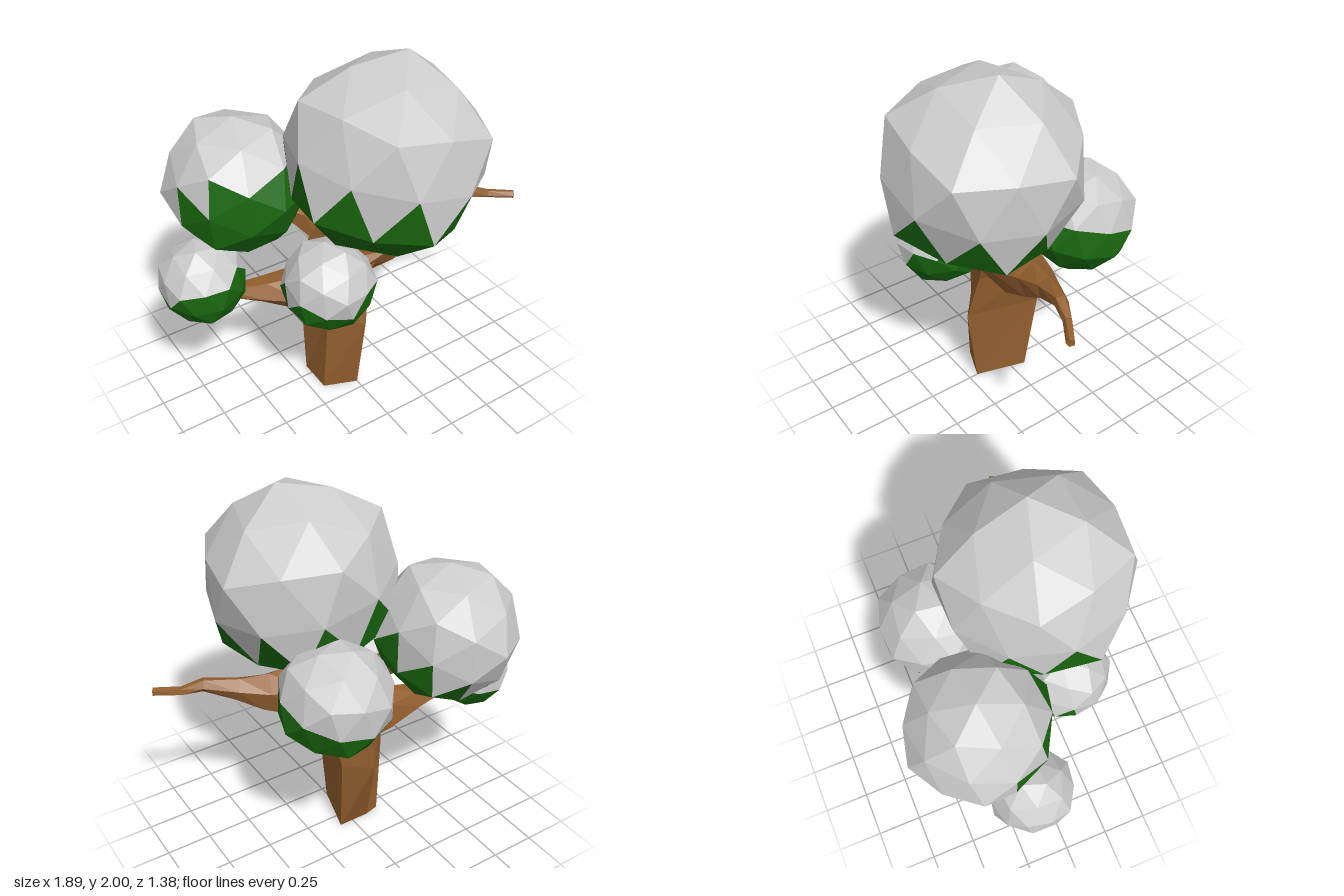
import * as THREE from 'three';

const mat = (color) => new THREE.MeshStandardMaterial({ color, flatShading: true, roughness: 1 });
const bark = mat(0x94602f), leaf = mat(0x1a6a10), snow = mat(0xcccccc);

function fromPositions(positions) {
  const g = new THREE.BufferGeometry();
  g.setAttribute('position', new THREE.Float32BufferAttribute(positions, 3));
  g.computeVertexNormals();
  return g;
}

function addMesh(parent, name, geometry, material) {
  const m = new THREE.Mesh(geometry, material);
  m.name = name;
  parent.add(m);
}

// Closed faceted skin over a stack of equal-sized loops of points
function skin(loops) {
  const out = [];
  const tri = (...p) => p.forEach((v) => out.push(v.x, v.y, v.z));
  const sides = loops[0].length, last = loops.length - 1;
  for (let k = 0; k < sides; k++) {
    const n = (k + 1) % sides;
    for (let i = 0; i < last; i++) {
      tri(loops[i][k], loops[i + 1][k], loops[i][n]);
      tri(loops[i][n], loops[i + 1][k], loops[i + 1][n]);
    }
    if (k > 0 && n > 0) {
      tri(loops[0][0], loops[0][k], loops[0][n]);
      tri(loops[last][0], loops[last][n], loops[last][k]);
    }
  }
  return fromPositions(out);
}

// Five-sided branch through rings [x, y, z, radius], twisted a little per ring
function branch(rings, start) {
  const centres = rings.map((r) => new THREE.Vector3(r[0], r[1], r[2]));
  return skin(rings.map((r, i) => {
    const t = centres[Math.min(i + 1, rings.length - 1)].clone()
      .sub(centres[Math.max(i - 1, 0)]).normalize();
    const side = new THREE.Vector3().crossVectors(t, new THREE.Vector3(0, 0, 1)).normalize();
    const other = new THREE.Vector3().crossVectors(side, t);
    return Array.from({ length: 5 }, (_, k) => {
      const a = start + i * 0.2 + (k / 5) * Math.PI * 2;
      return centres[i].clone().addScaledVector(side, r[3] * Math.cos(a))
        .addScaledVector(other, r[3] * Math.sin(a));
    });
  }));
}

// Leaf ball: faces towards snowDir are snow, the rest are leaves.
// The twelve main corners stand out, the points between them are drawn in by "inset".
function foliage(name, { centre, radius, inset, rotation, snowDir, level }) {
  const group = new THREE.Group();
  group.name = name;
  group.position.set(...centre);
  const geo = new THREE.IcosahedronGeometry(radius, 1);
  const p = geo.attributes.position;
  const v = new THREE.Vector3();
  for (let i = 0; i < p.count; i++) {
    v.fromBufferAttribute(p, i);
    const [a, b, c] = [v.x, v.y, v.z].map(Math.abs).sort((m, n) => m - n);
    const corner = a < 0.01 * radius && b > 0.4 * radius && c < 0.9 * radius;
    if (!corner) p.setXYZ(i, v.x * inset, v.y * inset, v.z * inset);
  }
  const [first, turn, tiltX, tiltZ] = rotation;
  geo.rotateX(first).rotateY(turn).rotateX(tiltX).rotateZ(tiltZ);
  const dir = new THREE.Vector3(...snowDir).normalize();
  const parts = { snow: [], leaves: [] };
  for (let i = 0; i < p.count; i += 3) {
    const f = [0, 1, 2].map((k) => new THREE.Vector3().fromBufferAttribute(p, i + k));
    const mid = f[0].clone().add(f[1]).add(f[2]).divideScalar(3 * radius);
    const list = mid.dot(dir) > level ? parts.snow : parts.leaves;
    f.forEach((c) => list.push(c.x, c.y, c.z));
  }
  addMesh(group, name + 'Snow', fromPositions(parts.snow), snow);
  addMesh(group, name + 'Leaves', fromPositions(parts.leaves), leaf);
  return group;
}

export function createModel() {
  const tree = new THREE.Group();
  tree.name = 'snowyTree';

  // Trunk: uneven five-cornered sections [height, corners as x, z]
  const sections = [
    [0, [[0.08, -0.08], [0, 0.2], [-0.18, 0.13], [-0.18, -0.06], [-0.1, -0.08]]],
    [0.48, [[0.11, -0.14], [0.01, 0.26], [-0.15, 0.13], [-0.2, -0.06], [-0.03, -0.25]]],
    [0.75, [[0.16, -0.08], [0.06, 0.21], [-0.15, 0.13], [-0.19, -0.07], [-0.02, -0.23]]],
    [1.0, [[0.25, 0], [0.15, 0.23], [-0.08, 0.18], [-0.12, -0.06], [0.05, -0.17]]],
    [1.2, [[0.23, 0.04], [0.16, 0.2], [0.02, 0.17], [0, 0.02], [0.1, -0.04]]],
  ];
  addMesh(tree, 'trunk', skin(sections.map(
    ([y, corners]) => corners.map(([x, z]) => new THREE.Vector3(x, y, z)))), bark);

  // Branches
  addMesh(tree, 'leftBranch', branch([
    [0.04, 0.84, 0.06, 0.16],
    [0.22, 0.89, 0.1, 0.15],
    [0.42, 0.94, 0.12, 0.1],
    [0.56, 0.99, 0.15, 0.06],
    [0.72, 1.04, 0.2, 0.036],
    [0.82, 1.015, 0.24, 0.024],
    [0.94, 1.01, 0.32, 0.022],
  ], 0.3), bark);
  addMesh(tree, 'rightBranch', branch([
    [-0.08, 0.65, 0.0, 0.14],
    [-0.24, 0.655, -0.01, 0.125],
    [-0.43, 0.695, -0.06, 0.075],
    [-0.63, 0.735, -0.11, 0.03],
  ], 0.2), bark);
  addMesh(tree, 'backBranch', branch([
    [0.0, 0.87, -0.04, 0.09],
    [-0.15, 1.04, -0.13, 0.07],
    [-0.34, 1.17, -0.26, 0.05],
  ], 0), bark);

  // Foliage
  const up = -Math.atan((1 + Math.sqrt(5)) / 2); // turns one corner straight up
  tree.add(
    foliage('crown', {
      centre: [0.13, 1.475, 0.215], radius: 0.537, inset: 0.93,
      rotation: [up, Math.PI, 0, -0.23], snowDir: [0.23, 1, 0], level: -0.23,
    }),
    foliage('rightBackFoliage', {
      centre: [-0.42, 1.245, -0.3], radius: 0.39, inset: 0.95,
      rotation: [0, 2.29, 0, 0], snowDir: [-0.1, 0.8, -0.55], level: -0.04,
    }),
    foliage('leftBackFoliage', {
      centre: [0.245, 1.065, -0.29], radius: 0.307, inset: 0.96,
      rotation: [up, Math.PI + 0.5, -0.3, 0.15], snowDir: [0, 0.9, -0.4], level: 0.02,
    }),
    foliage('rightLowFoliage', {
      centre: [-0.73, 0.842, -0.145], radius: 0.234, inset: 0.96,
      rotation: [up, Math.PI + 0.9, 0.25, 0.2], snowDir: [-0.2, 0.9, -0.3], level: 0.02,
    }),
    foliage('frontFoliage', {
      centre: [-0.23, 0.87, 0.265], radius: 0.246, inset: 0.96,
      rotation: [up, Math.PI + 0.4, 0.35, -0.2], snowDir: [-0.1, 1, 0.15], level: 0.02,
    }),
  );
  return tree;
}
